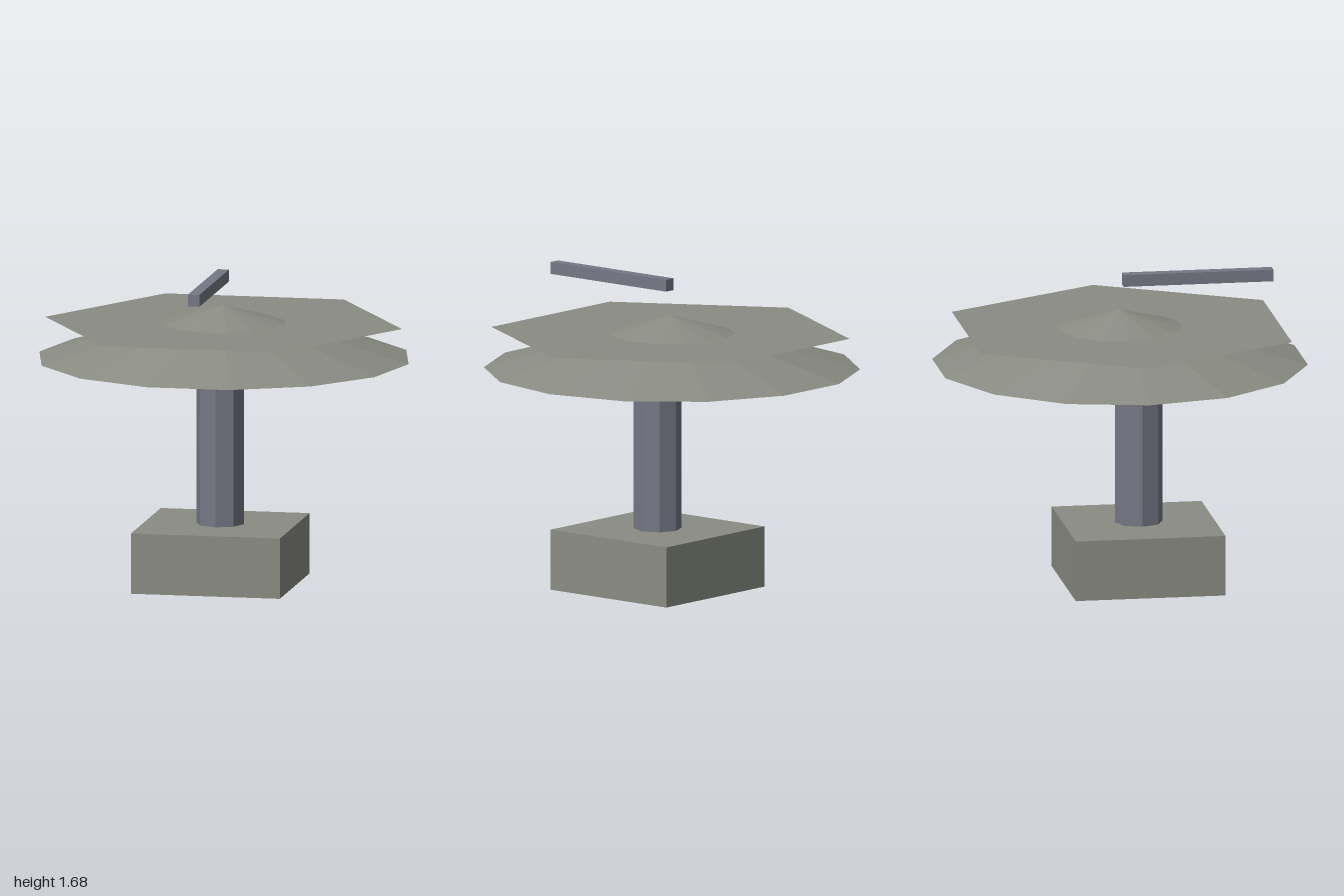
import * as THREE from 'three';

export function createModel() {
  const model = new THREE.Group();
  model.name = 'dishAntenna';

  const paint = new THREE.MeshStandardMaterial({ name: 'olive grey', color: 0x8a8c82, flatShading: true });
  const paintThin = new THREE.MeshStandardMaterial({ name: 'olive grey shell', color: 0x8a8c82, flatShading: true, side: THREE.DoubleSide });
  const metal = new THREE.MeshStandardMaterial({ name: 'steel grey', color: 0x757985, flatShading: true });

  const add = (name, geometry, material, x, y, z) => {
    const mesh = new THREE.Mesh(geometry, material);
    mesh.name = name;
    mesh.position.set(x, y, z);
    model.add(mesh);
  };

  // Square foot, set slightly forward
  add('base', new THREE.BoxGeometry(0.806, 0.325, 0.806), paint, 0, 0.1625, 0.1);

  // Eight-sided post reaching up into the dish
  add('column', new THREE.CylinderGeometry(0.128, 0.128, 1.03, 8), metal, 0, 0.835, 0.1);

  // Open fourteen-sided cone, one corner on each side of x
  add('dishCone', new THREE.ConeGeometry(1, 0.285, 14, 1, true, Math.PI / 2), paintThin, 0, 1.3425, 0);

  // Shallow six-sided pan, wide and flat at the top
  add('hexagonPan', new THREE.CylinderGeometry(0.967, 0.09, 0.105, 6, 1, false, Math.PI / 2), paint, 0, 1.3375, 0.01);

  // Receiver bar floating above the dish
  add('receiverBar', new THREE.BoxGeometry(0.062, 0.064, 0.805), metal, 0, 1.648, 0.418);

  return model;
}
